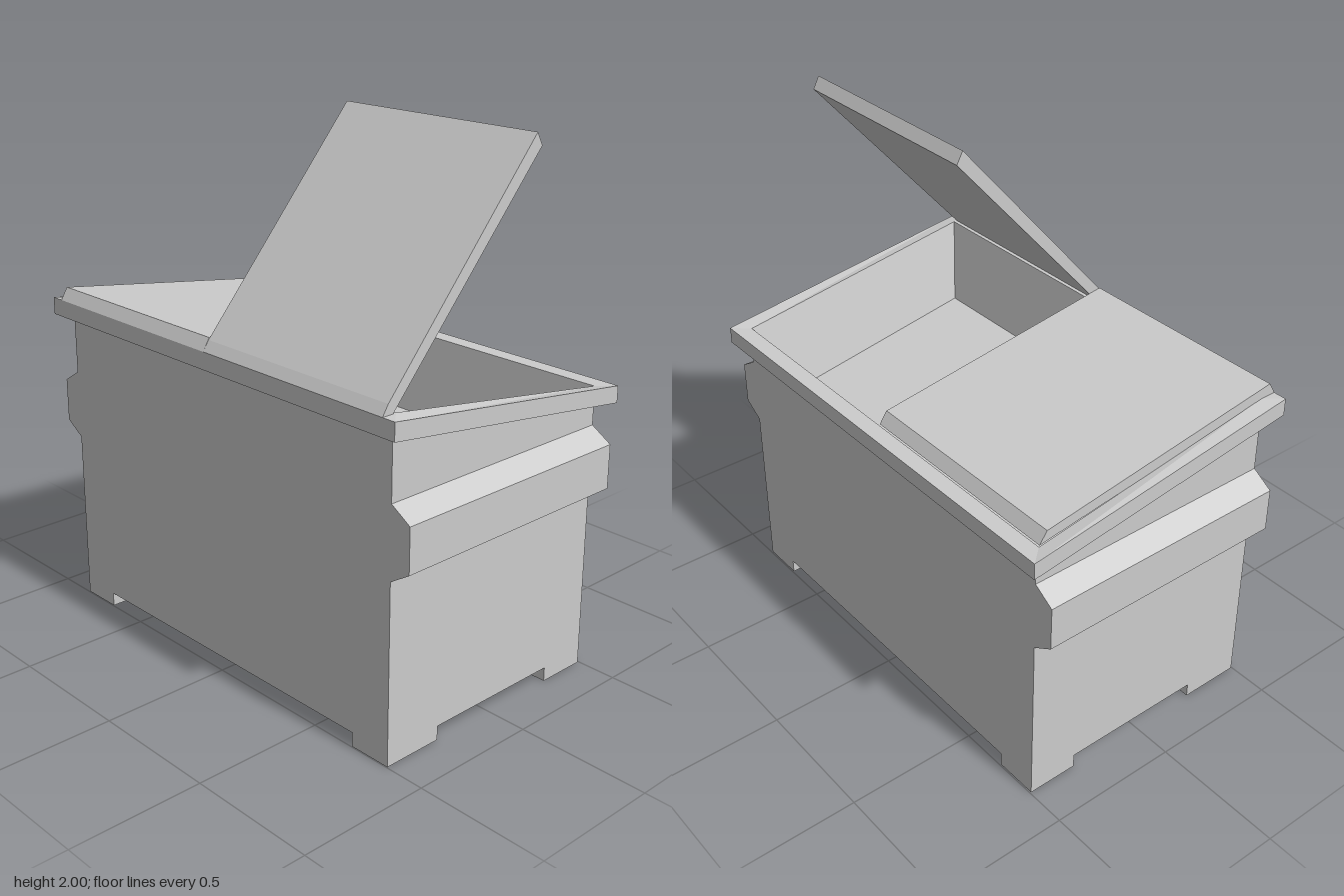
import * as THREE from 'three';

const BACK = -0.495, FRONT = 0.497; // body depth

const material = new THREE.MeshStandardMaterial({
  color: 0xcccccc, flatShading: true, side: THREE.DoubleSide,
});

function addMesh(group, name, geometry) {
  const mesh = new THREE.Mesh(geometry, material);
  mesh.name = name;
  group.add(mesh);
  return mesh;
}

// Skin a stack of rectangular rings: [half width, back z, front z, back y, front y]
function loft(rings) {
  const loops = rings.map(([x, z0, z1, y0, y1]) =>
    [[x, y1, z1], [x, y0, z0], [-x, y0, z0], [-x, y1, z1]]);
  const pos = [];
  for (let r = 0; r < loops.length - 1; r++) {
    for (let i = 0; i < 4; i++) {
      const j = (i + 1) % 4;
      const a = loops[r][i], b = loops[r][j], c = loops[r + 1][j], d = loops[r + 1][i];
      pos.push(...a, ...b, ...c, ...a, ...c, ...d);
    }
  }
  const g = new THREE.BufferGeometry();
  g.setAttribute('position', new THREE.Float32BufferAttribute(pos, 3));
  g.computeVertexNormals();
  return g;
}

// Extrude a side section of [z, y] points from x0 to x1
function prism(section, x0, x1) {
  const shape = new THREE.Shape(section.map(([z, y]) => new THREE.Vector2(z, y)));
  const g = new THREE.ExtrudeGeometry(shape, { depth: x1 - x0, bevelEnabled: false });
  return g.rotateY(-Math.PI / 2).translate(x1, 0, 0);
}

export function createModel() {
  const model = new THREE.Group();
  model.name = 'wasteContainer';

  // Body shell, open below, with a lifting channel bulging from each side
  const level = (x, y) => [x, BACK, FRONT, y, y];
  addMesh(model, 'body', loft([
    level(0.845, 0.053), level(0.845, 0.67), level(0.925, 0.72),
    level(0.925, 0.885), level(0.845, 0.935),
    [0.845, BACK, FRONT, 1.018, 1.166],
  ]));

  // Sloping rim, with the tapered well and its floor
  addMesh(model, 'rimAndWell', loft([
    [0.845, BACK, FRONT, 1.018, 1.166],
    [0.902, -0.55, 0.547, 1.018, 1.166],
    [0.902, -0.55, 0.547, 1.081, 1.231],
    [0.848, -0.487, 0.487, 1.081, 1.231],
    [0.775, -0.441, 0.43, 0.775, 0.925],
    [0, -0.0055, -0.0055, 0.85, 0.85],
  ]));

  // Closed lid over the right half
  addMesh(model, 'closedLid', prism([
    [0.547, 1.231], [0.52, 1.276], [-0.457, 1.132], [-0.487, 1.089],
  ], -0.85, 0));

  // Open lid over the left half, swung up about the front edge
  addMesh(model, 'openLid', prism([
    [0.547, 1.231], [0.523, 1.268], [-0.115, 2.0], [-0.14, 1.955], [0.502, 1.231],
  ], 0, 0.85));

  // Hollow corner feet: four walls each, open above and below
  for (const side of [-1, 1]) {
    for (const [z0, z1, name] of [[0.26, FRONT, 'frontFoot'], [BACK, -0.3, 'backFoot']]) {
      const walls = new THREE.CylinderGeometry(Math.SQRT1_2, Math.SQRT1_2, 0.053, 4, 1, true);
      walls.rotateY(Math.PI / 4).scale(0.165, 1, z1 - z0);
      addMesh(model, name, walls).position.set(side * 0.7625, 0.0265, (z0 + z1) / 2);
    }
  }
  return model;
}
